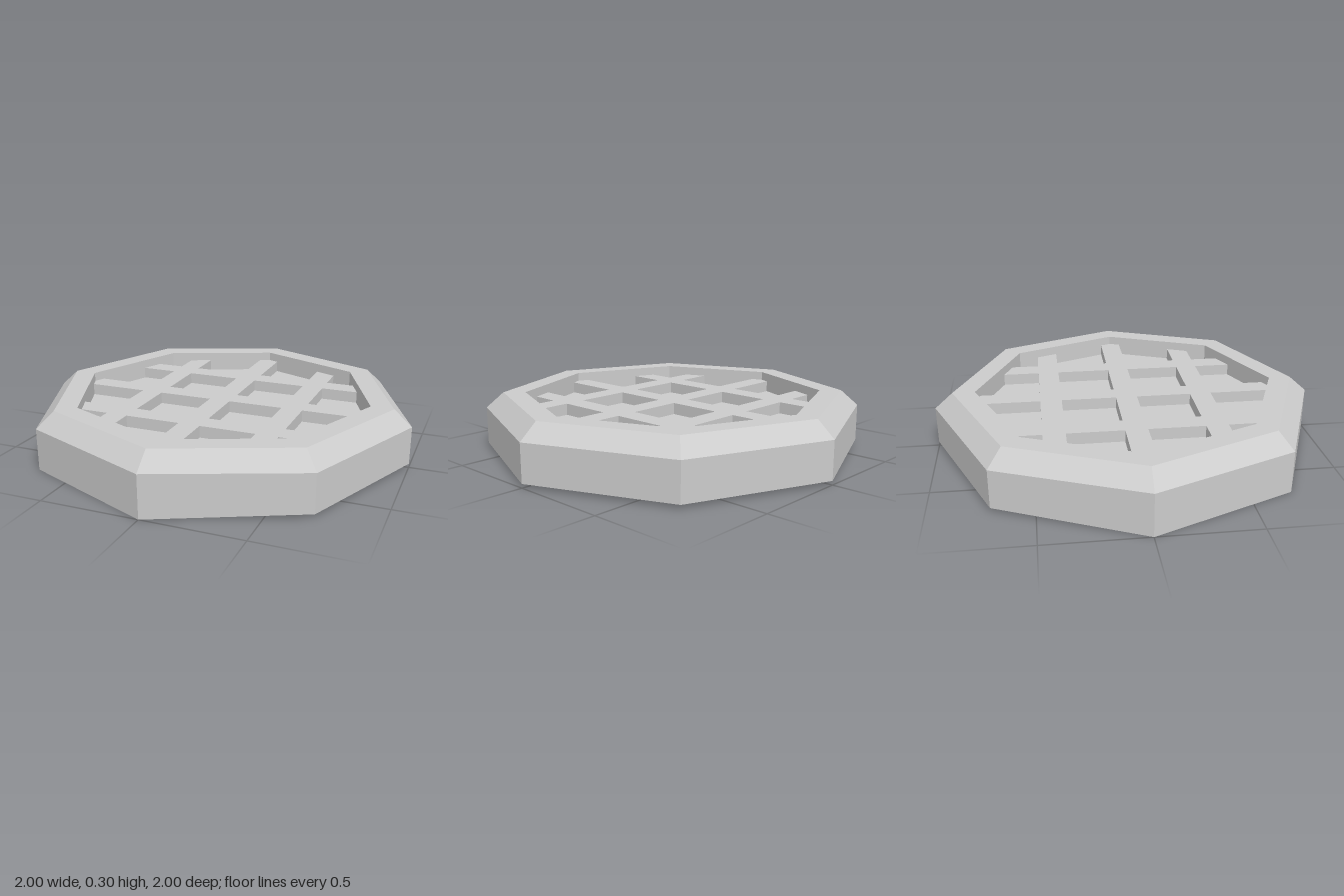
import * as THREE from 'three';

const FLOOR_Y = 0.19;
const INNER_R = 0.79;

// Eight-sided open shell: outer wall, chamfer, flat rim, inner wall
function rimGeometry() {
  const profile = [
    [1, 0], [1, 0.215], [0.907, 0.297], [INNER_R, 0.297], [INNER_R, FLOOR_Y],
  ].map(([r, y]) => new THREE.Vector2(r, y));
  const geo = new THREE.LatheGeometry(profile, 8);
  // The lower edge sits slightly higher on the back and left sides
  const pos = geo.attributes.position;
  for (let i = 0; i < pos.count; i++) {
    if (pos.getY(i) < 0.01 && (pos.getX(i) > 0.1 || pos.getZ(i) < -0.1)) pos.setY(i, 0.02);
  }
  return geo;
}

// Three bars each way as one outline, with four square holes in the middle
function latticeGeometry() {
  const pitch = 0.398, w = 0.056, longEnd = INNER_R, shortEnd = 0.65;
  const a = pitch - w, b = pitch + w;
  const side = [
    [-b, shortEnd], [-a, shortEnd], [-a, b], [-w, b], [-w, longEnd],
    [w, longEnd], [w, b], [a, b], [a, shortEnd], [b, shortEnd], [b, b],
  ];
  const outline = [];
  for (let k = 0; k < 4; k++) {
    for (const [x, y] of side) {
      outline.push(new THREE.Vector2(x, y).rotateAround(new THREE.Vector2(), -k * Math.PI / 2));
    }
  }
  const shape = new THREE.Shape(outline);
  for (const sx of [-1, 1]) {
    for (const sy of [-1, 1]) {
      const corners = [[w, w], [a, w], [a, a], [w, a]];
      shape.holes.push(new THREE.Path(corners.map(([x, y]) => new THREE.Vector2(sx * x, sy * y))));
    }
  }
  return new THREE.ExtrudeGeometry(shape, { depth: 0.06, bevelEnabled: false })
    .rotateX(-Math.PI / 2)
    .translate(0, FLOOR_Y, 0);
}

export function createModel() {
  const model = new THREE.Group();
  model.name = 'grateCover';
  const material = new THREE.MeshStandardMaterial({
    color: 0xcccccc, flatShading: true, side: THREE.DoubleSide,
  });
  const add = (name, geometry) => {
    const mesh = new THREE.Mesh(geometry, material);
    mesh.name = name;
    model.add(mesh);
  };

  add('rim', rimGeometry());
  // Recessed plate under the bars
  add('floorPlate', new THREE.CircleGeometry(INNER_R, 8).rotateX(-Math.PI / 2).translate(0, FLOOR_Y, 0));
  add('lattice', latticeGeometry());
  return model;
}
